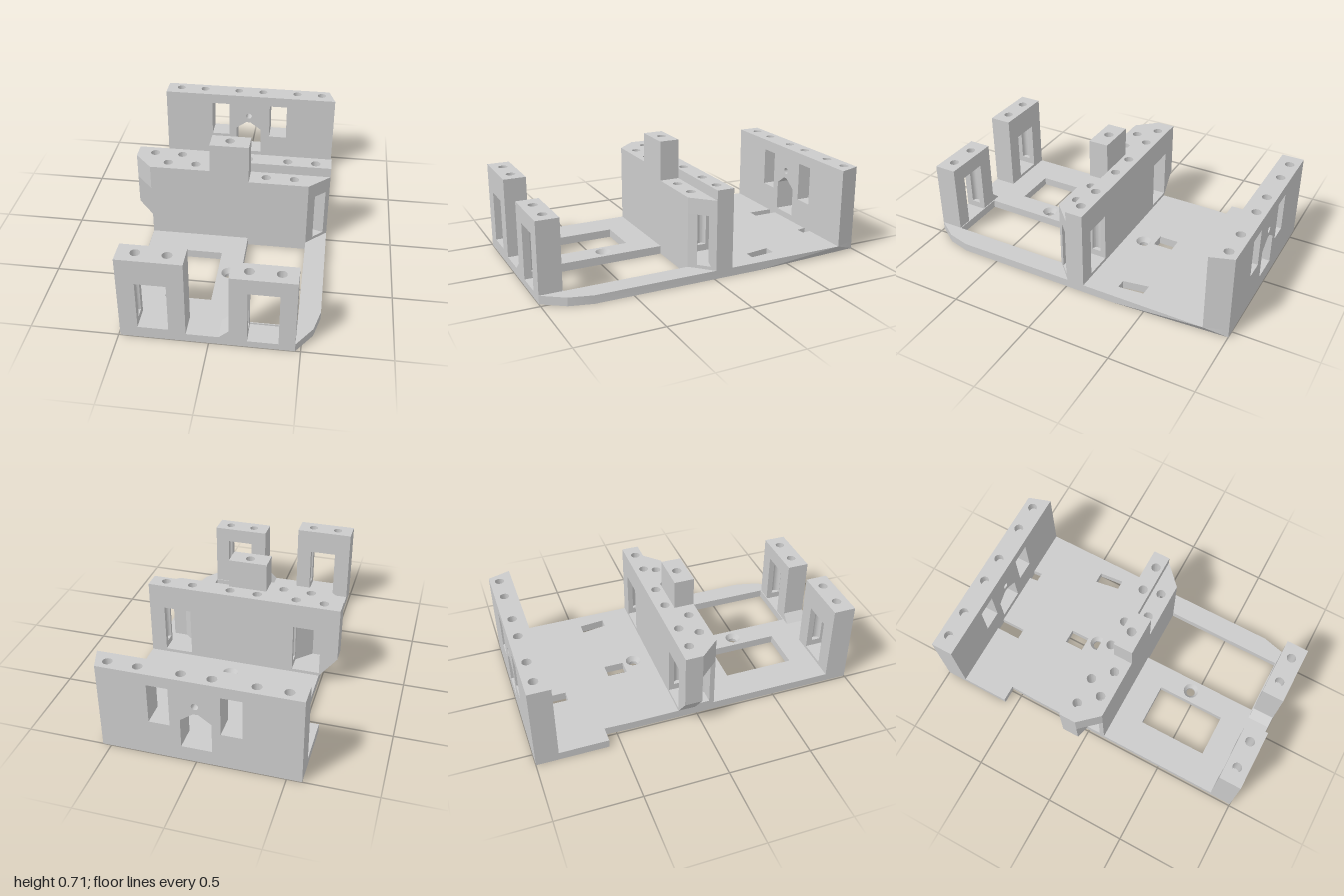
import * as THREE from 'three';
import { toCreasedNormals } from 'three/addons/utils/BufferGeometryUtils.js';
import { ConvexGeometry } from 'three/addons/geometries/ConvexGeometry.js';

const material = new THREE.MeshStandardMaterial({ color: 0xcccccc });
const R = 0.028; // screw hole radius
const FLOOR = 0.05; // top of the base plate
const W = 0.595; // left edge of the body

const rect = (x0, x1, a, b) => [[x0, a], [x1, a], [x1, b], [x0, b]];
const circle = (cx, cz, r = R) => Array.from({ length: 24 }, (_, i) => {
  const t = (i / 24) * Math.PI * 2;
  return [cx + r * Math.cos(t), cz + r * Math.sin(t)];
});
// Half circle cut into a jamb, listed from low z to high z
const groove = (x, cz, side) => Array.from({ length: 13 }, (_, i) => {
  const t = (i / 12) * Math.PI;
  return [x + side * R * Math.sin(t), cz - R * Math.cos(t)];
});

function extrude(points, depth, holes, flip) {
  const toV = ([a, b]) => new THREE.Vector2(a, flip * b);
  const outline = points.map(toV);
  // A counter-clockwise outline keeps the hole walls facing inward
  if (THREE.ShapeUtils.isClockWise(outline)) outline.reverse();
  const shape = new THREE.Shape(outline);
  holes.forEach(h => shape.holes.push(new THREE.Path(h.map(toV))));
  return new THREE.ExtrudeGeometry(shape, { depth, bevelEnabled: false });
}

function addMesh(parent, name, geometry) {
  const mesh = new THREE.Mesh(toCreasedNormals(geometry, 0.35), material);
  mesh.name = name;
  parent.add(mesh);
  return mesh;
}

// Plan outline [x, z] raised from y0 to y1
const addPlan = (parent, name, points, y0, y1, holes = []) =>
  addMesh(parent, name, extrude(points, y1 - y0, holes, -1).rotateX(-Math.PI / 2).translate(0, y0, 0));

// Elevation outline [x, y] run from z0 to z1
const addElevation = (parent, name, points, z0, z1, holes = []) =>
  addMesh(parent, name, extrude(points, z1 - z0, holes, 1).translate(0, 0, z0));

function addGroup(parent, name) {
  const g = new THREE.Group();
  g.name = name;
  parent.add(g);
  return g;
}

function buildPlate(parent) {
  const g = addGroup(parent, 'basePlate');
  const screws = [[0.04, -0.23], [0.04, 0.46]];
  // The front edge is notched for the sunken sill of the left post
  addPlan(g, 'plate', [
    [-0.585, -1], [0.55, -1], [W, -0.3], [W, 0.73], [0.56, 0.87], [0.47, 1],
    [0.38, 1], [0.38, 0.865], [0.21, 0.865], [0.21, 1],
    [-0.49, 1], [-0.49, -0.4], [-0.485, -0.57], [-0.585, -0.57],
  ], 0, FLOOR, [
    rect(0.11, 0.47, 0.11, 0.86), rect(-0.295, -0.03, 0.28, 0.71),
    rect(-0.18, -0.11, -0.87, -0.71), rect(-0.05, 0.04, -0.42, -0.3),
    [[0.235, -0.87], [0.295, -0.87], [0.3, -0.81], [0.243, -0.81]],
    [[0.425, -0.455], [0.495, -0.455], [0.51, -0.3], [0.45, -0.3]],
    ...screws.map(([x, z]) => circle(x, z, 0.047)),
  ]);
  // Slanted relief under the rear left edge
  addMesh(g, 'rearRelief', new ConvexGeometry([
    [0.55, 0, -1], [W, 0, -0.3], [0.55, FLOOR, -1], [W, FLOOR, -0.865], [W, FLOOR, -0.3],
  ].map(p => new THREE.Vector3(...p))));
  // Countersunk rings
  const profile = [[0.028, 0], [0.028, 0.02], [0.047, 0.05]].map(p => new THREE.Vector2(...p));
  screws.forEach(([x, z]) => {
    const ring = addMesh(g, 'countersink', new THREE.LatheGeometry(profile, 24));
    ring.material = material.clone();
    ring.material.side = THREE.DoubleSide;
    ring.position.set(x, 0, z);
    const rim = addMesh(g, 'countersinkRim', new THREE.RingGeometry(0.028, 0.047, 24).rotateX(Math.PI / 2));
    rim.position.set(x, 0, z);
  });
}

const rowX = [-0.49, -0.32, -0.08, 0.09, 0.33, 0.5];

function buildBackWall(parent) {
  const g = addGroup(parent, 'backWall');
  const z0 = -1, z1 = -0.865;
  const house = [[-0.09, 0.09], [0.085, 0.09], [0.085, 0.27], [0.01, 0.325], [-0.02, 0.325], [-0.09, 0.275]];
  addElevation(g, 'backPanel', rect(-0.585, 0.55, FLOOR, 0.47), z0, z1, [
    rect(-0.26, -0.14, 0.22, 0.462), rect(0.145, 0.265, 0.22, 0.462),
    house, circle(0, 0.375, 0.02),
  ]);
  addPlan(g, 'backCorner', [[0.55, z0], [W, z1], [0.55, z1]], FLOOR, 0.47);
  addPlan(g, 'backTopRail', [[-0.585, z0], [0.55, z0], [W, z1], [-0.585, z1]], 0.47, 0.53,
    rowX.map(x => circle(x, -0.942)));
}

function buildMiddleWall(parent) {
  const g = addGroup(parent, 'middleWall');
  const z0 = -0.115, z1 = -0.01, cz = -0.055;
  // Base with the two window sills
  addElevation(g, 'middleBase', [
    [-0.49, FLOOR], [W, FLOOR], [W, 0.11], [0.5, 0.11], [0.5, 0.07], [0.33, 0.07],
    [0.33, 0.11], [-0.32, 0.11], [-0.32, 0.07], [-0.49, 0.07],
  ], z0, z1);
  addElevation(g, 'overhang', [[-0.598, 0.375], [-0.598, 0.19], [-0.49, FLOOR], [-0.49, 0.375]], z0, z1);
  // Grooved panels beside the windows
  addPlan(g, 'middlePanel', [
    [-0.32, z0], ...groove(-0.32, cz, 1), [-0.32, z1],
    [0.33, z1], ...groove(0.33, cz, -1).reverse(), [0.33, z0],
  ], 0.11, 0.375);
  addPlan(g, 'middleEnd', [[W, z0], [0.5, z0], ...groove(0.5, cz, 1), [0.5, z1], [W, z1]], 0.11, 0.375);
  addPlan(g, 'middleTopRail', rect(-0.598, W, z0, z1), 0.375, 0.53, rowX.map(x => circle(x, cz)));
}

function buildBlock(parent) {
  const g = addGroup(parent, 'centreBlock');
  const b = -0.01, f = 0.11, head = 0.375;
  const holes = xs => xs.map(x => circle(x, 0.045));
  // Core and end piece leave slanted passages in front of both windows
  addPlan(g, 'blockCore', [
    [-0.32, b], [0.33, b], [0.43, 0.07], [0.51, 0.07], [0.47, f],
    [-0.49, f], [-0.49, 0.08], [-0.41, 0.08],
  ], FLOOR, head);
  addPlan(g, 'rightPassageFloor', [[-0.49, b], [-0.32, b], [-0.41, 0.08], [-0.49, 0.08]], FLOOR, 0.07);
  addPlan(g, 'leftPassageFloor', [[0.33, b], [W, b], [0.51, 0.07], [0.43, 0.07]], FLOOR, 0.07);
  addPlan(g, 'blockEnd', [[0.5, b], [W, b], [0.572, 0.012]], 0.07, head);
  // Three top levels
  addPlan(g, 'rightTop', [[-0.598, b], [-0.125, b], [-0.125, f], [-0.49, f]], head, 0.53, holes([-0.39, -0.22]));
  addPlan(g, 'tower', rect(-0.125, 0.11, b, f), head, 0.71, holes([-0.01]));
  addPlan(g, 'leftTop', [[0.11, b], [W, b], [0.47, f], [0.11, f]], head, 0.47, holes([0.21, 0.38]));
}

// Upright frame whose screw holes run down both window jambs
function buildPost(parent, name, x0, x1, w0, w1, sill, grooveEnd, top) {
  const g = addGroup(parent, name);
  const z0 = 0.865, z1 = 1, cz = 0.93, head = 0.375;
  addPlan(g, 'sill', rect(w0, w1, z0, z1), 0, sill);
  [[x0, w0, -1], [x1, w1, 1]].forEach(([outer, inner, side]) => {
    addPlan(g, 'jambFoot', rect(Math.min(outer, inner), Math.max(outer, inner), z0, z1), FLOOR, grooveEnd);
    addPlan(g, 'jamb', [[outer, z0], [inner, z0], ...groove(inner, cz, side), [inner, z1], [outer, z1]],
      grooveEnd, head);
  });
  addPlan(g, 'head', rect(x0, x1, z0, z1), head, top, [circle(w0, cz), circle(w1, cz)]);
}

export function createModel() {
  const model = new THREE.Group();
  model.name = 'mountingFrame';
  buildPlate(model);
  buildBackWall(model);
  buildMiddleWall(model);
  buildBlock(model);
  buildPost(model, 'frontRightPost', -0.49, -0.125, -0.39, -0.22, 0.07, 0.11, 0.53);
  buildPost(model, 'frontLeftPost', 0.11, 0.47, 0.21, 0.38, 0.04, 0.08, 0.47);
  addElevation(model, 'gusset', [[0.055, FLOOR], [0.11, FLOOR], [0.11, 0.1]], 0.865, 1);
  return model;
}
